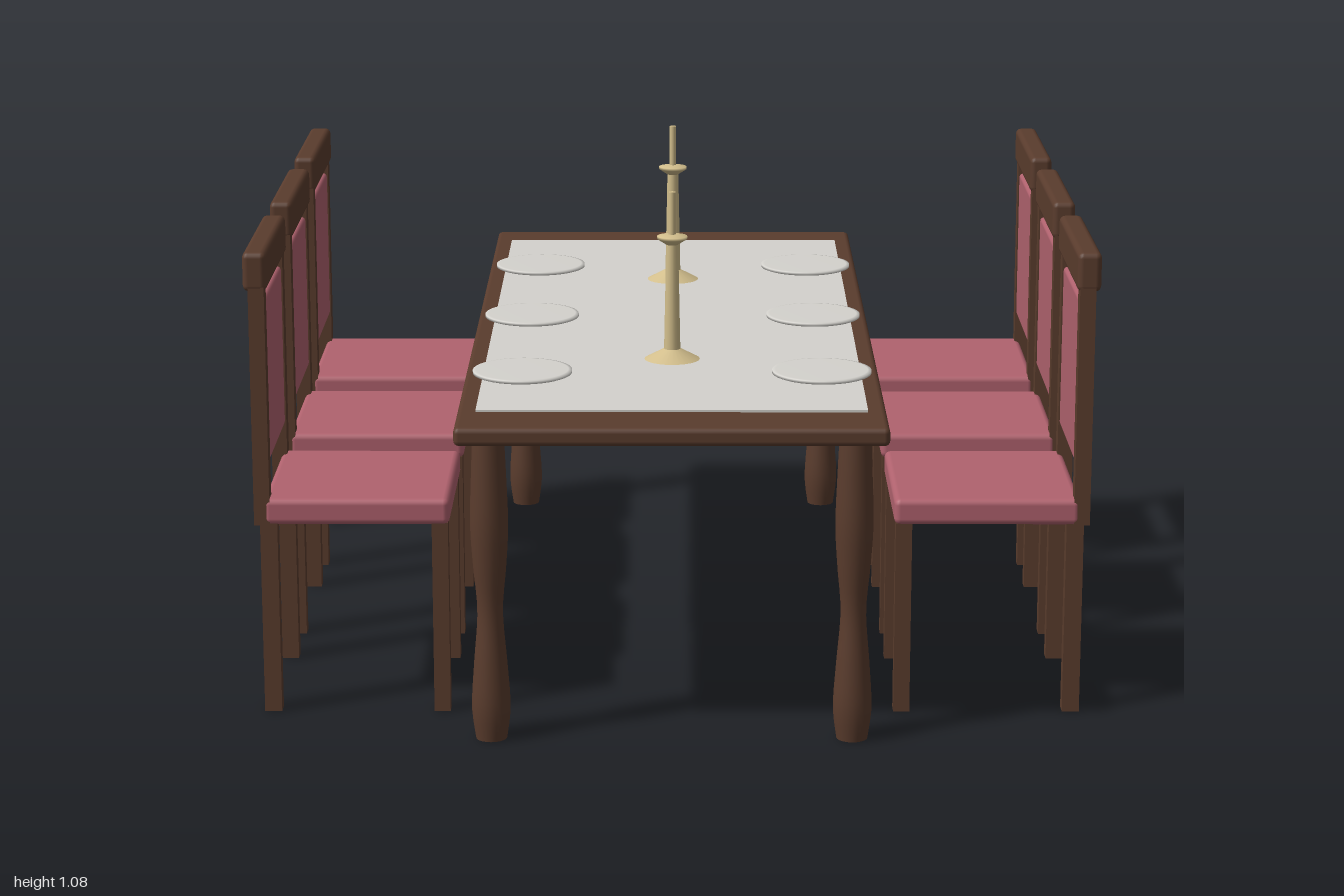
import * as THREE from 'three';
import { RoundedBoxGeometry } from 'three/addons/geometries/RoundedBoxGeometry.js';

const material = (name, color) => {
  const m = new THREE.MeshStandardMaterial({ color });
  m.name = name;
  return m;
};

export function createModel() {
  const wood = material('dark wood', 0x5a3c2d);
  const fabric = material('rose fabric', 0xb0626e);
  const linen = material('linen white', 0xd4d2cd);
  const brass = material('pale brass', 0xd2be8c);

  const add = (parent, name, geometry, mat, x = 0, y = 0, z = 0) => {
    const mesh = new THREE.Mesh(geometry, mat);
    mesh.name = name;
    mesh.position.set(x, y, z);
    parent.add(mesh);
    return mesh;
  };
  // Box given by its min and max on each axis, with optional bevelled edges
  const box = (parent, name, mat, [x0, x1], [y0, y1], [z0, z1], bevel = 0) => {
    const size = [x1 - x0, y1 - y0, z1 - z0];
    const geometry = bevel ? new RoundedBoxGeometry(...size, 2, bevel) : new THREE.BoxGeometry(...size);
    return add(parent, name, geometry, mat, (x0 + x1) / 2, (y0 + y1) / 2, (z0 + z1) / 2);
  };
  const group = (parent, name) => {
    const g = new THREE.Group();
    g.name = name;
    parent.add(g);
    return g;
  };
  const points = (list) => list.map(([r, y]) => new THREE.Vector2(r, y));

  const model = new THREE.Group();
  model.name = 'diningSet';

  // Table: top, cloth and four turned legs
  const table = group(model, 'table');
  box(table, 'tableTop', wood, [-0.45, 0.45], [0.66, 0.7], [-1, 1], 0.012);
  box(table, 'tableCloth', linen, [-0.41, 0.41], [0.698, 0.705], [-0.865, 0.865]);
  const curve = new THREE.SplineCurve(points([
    [0.033, 0], [0.041, 0.07], [0.035, 0.17], [0.027, 0.28],
    [0.035, 0.38], [0.04, 0.47], [0.037, 0.57], [0.033, 0.665],
  ]));
  const legGeometry = new THREE.LatheGeometry(
    [new THREE.Vector2(0, 0), new THREE.Vector2(0.033, 0), ...curve.getPoints(24)], 20);
  for (const x of [-0.382, 0.382]) {
    for (const z of [-0.912, 0.912]) add(table, 'tableLeg', legGeometry, wood, x, 0, z);
  }

  // Chair facing -x, placed on the +x side of the table
  const buildChair = () => {
    const chair = new THREE.Group();
    chair.name = 'chair';
    box(chair, 'seat', fabric, [0.475, 0.873], [0.42, 0.478], [-0.206, 0.206], 0.014);
    for (const s of [-1, 1]) {
      const z = s < 0 ? [-0.2, -0.165] : [0.165, 0.2];
      box(chair, 'frontLeg', wood, [0.479, 0.514], [0, 0.424], z);
      box(chair, 'rearLeg', wood, [0.844, 0.881], [0, 0.424], z);
      const post = s < 0 ? [-0.204, -0.165] : [0.165, 0.204];
      box(chair, 'backPost', wood, [0.859, 0.893], [0.42, 0.94], post);
    }
    box(chair, 'backCushion', fabric, [0.86, 0.892], [0.55, 0.91], [-0.155, 0.155], 0.009);
    box(chair, 'topRail', wood, [0.853, 0.904], [0.93, 1.015], [-0.205, 0.205], 0.013);
    return chair;
  };

  // Plate with a raised rim
  const plateGeometry = new THREE.LatheGeometry(points([
    [0, 0], [0.1, 0], [0.108, 0.003], [0.108, 0.009], [0.1, 0.01], [0, 0.01],
  ]), 40);

  // Three chairs and plates along each long side
  for (const z of [-0.545, 0, 0.545]) {
    for (const side of [1, -1]) {
      const chair = buildChair();
      chair.position.z = z;
      if (side < 0) chair.rotation.y = Math.PI;
      model.add(chair);
      add(model, 'plate', plateGeometry, linen, 0.325 * side, 0.704, z);
    }
  }

  // Two candlesticks: flared foot, tapered stem, drip tray and candle
  for (const z of [-0.41, 0.41]) {
    const stick = group(model, 'candlestick');
    stick.position.set(0, 0.704, z);
    add(stick, 'foot', new THREE.CylinderGeometry(0.018, 0.063, 0.024, 24), brass, 0, 0.012);
    add(stick, 'stem', new THREE.CylinderGeometry(0.013, 0.018, 0.24, 16), brass, 0, 0.144);
    add(stick, 'dripTray', new THREE.LatheGeometry(points([
      [0, 0], [0.013, 0], [0.033, 0.013], [0.033, 0.019], [0.012, 0.023], [0, 0.023],
    ]), 24), brass, 0, 0.258);
    add(stick, 'candle', new THREE.CylinderGeometry(0.008, 0.008, 0.1, 12), brass, 0, 0.325);
  }

  return model;
}
